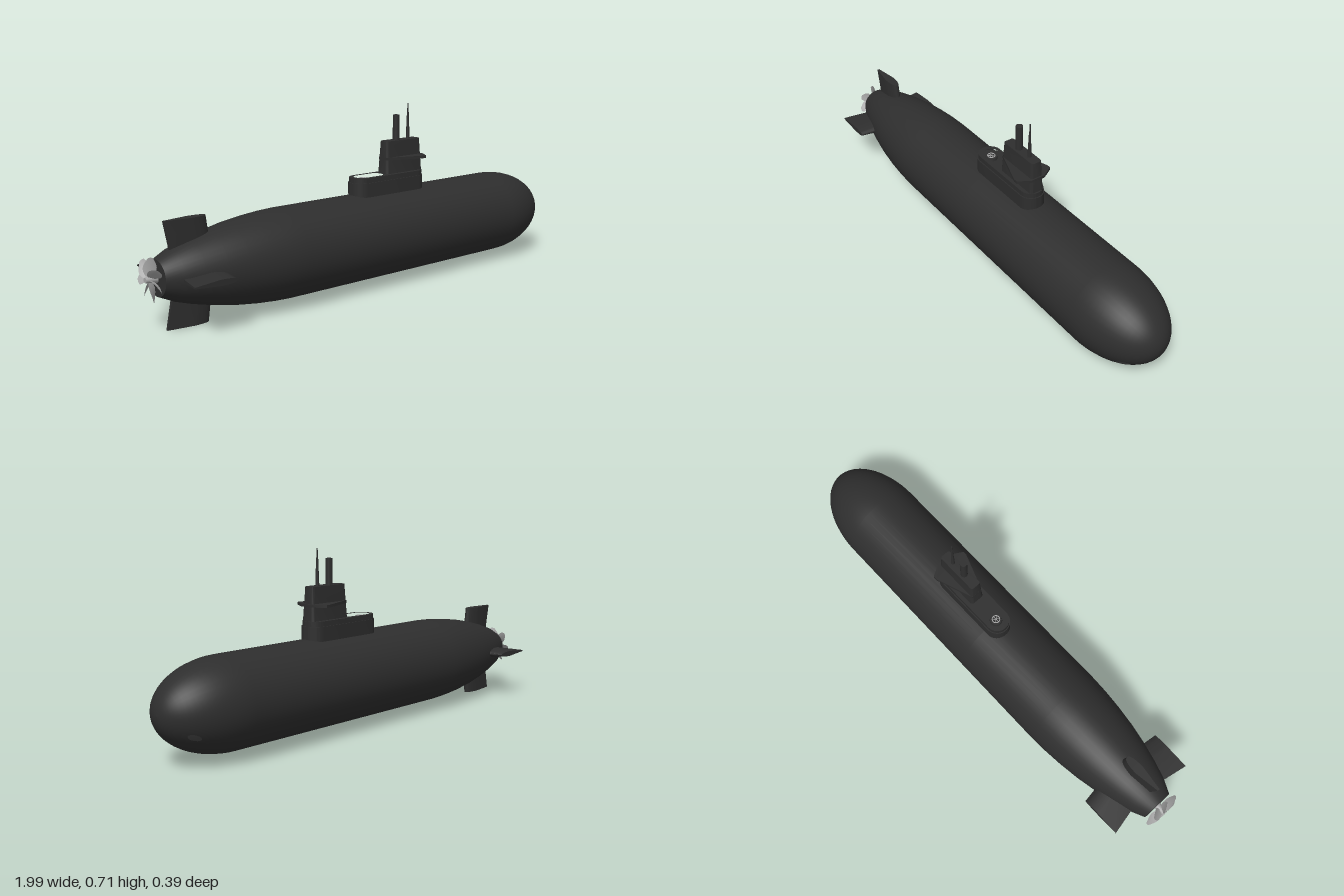
import * as THREE from 'three';
import { toCreasedNormals } from 'three/addons/utils/BufferGeometryUtils.js';

const AXIS = 0.197; // height of the hull's centre line
const RADIUS = 0.174;
const NOSE_X = 0.71;
const NOSE_LEN = 0.29;
const lerp = THREE.MathUtils.lerp;

const hullMat = new THREE.MeshStandardMaterial({ color: 0x2e2e2e });
hullMat.name = 'hull black';
const tubeMat = new THREE.MeshStandardMaterial({ color: 0x3c3c3c });
tubeMat.name = 'tube grey';
const metalMat = new THREE.MeshStandardMaterial({ color: 0xa8a8a8, side: THREE.DoubleSide });
metalMat.name = 'propeller metal';

function add(parent, name, geometry, material, x = 0, y = 0, z = 0) {
  const mesh = new THREE.Mesh(geometry, material);
  mesh.name = name;
  mesh.position.set(x, y, z);
  parent.add(mesh);
  return mesh;
}

// Moves every vertex by a rule
function warp(geometry, rule) {
  const p = geometry.attributes.position;
  const v = new THREE.Vector3();
  for (let i = 0; i < p.count; i++) {
    rule(v.fromBufferAttribute(p, i));
    p.setXYZ(i, v.x, v.y, v.z);
  }
  geometry.computeVertexNormals();
  return geometry;
}

// Rounded rectangle from x0 to x1 with half width w and corner radius r
function rounded(x0, x1, w, r, Type = THREE.Shape) {
  const s = new Type();
  s.absarc(x1 - r, w - r, r, Math.PI / 2, 0, true);
  s.absarc(x1 - r, -w + r, r, 0, -Math.PI / 2, true);
  s.absarc(x0 + r, -w + r, r, -Math.PI / 2, -Math.PI, true);
  s.absarc(x0 + r, w - r, r, Math.PI, Math.PI / 2, true);
  s.closePath();
  return s;
}

// Extrudes a plan shape upwards
function slab(shape, height, rule) {
  const g = new THREE.ExtrudeGeometry(shape, { depth: height, bevelEnabled: false, curveSegments: 10 });
  g.rotateX(-Math.PI / 2);
  if (rule) warp(g, rule);
  return toCreasedNormals(g, 0.6);
}

// Tapered stern fin that grows along +y from the hull axis
function finGeometry(rootThick, tipThick) {
  const s = new THREE.Shape();
  s.moveTo(0, 0.12);
  s.lineTo(0, -0.12);
  s.lineTo(0.6, -0.5);
  s.quadraticCurveTo(1, -0.5, 1, 0);
  s.quadraticCurveTo(1, 0.5, 0.6, 0.5);
  s.closePath();
  return slab(s, 1, (v) => {
    const t = v.y;
    v.x = lerp(lerp(-0.89, -0.917, t), lerp(-0.73, -0.748, t), v.x);
    v.z *= lerp(rootThick, tipThick, t);
    v.y = lerp(0.06, 0.195, t);
  });
}

// Swept, pitched propeller blade that grows along +y
function bladeGeometry() {
  return warp(new THREE.PlaneGeometry(1, 1, 6, 8), (v) => {
    const t = v.y + 0.5;
    const width = 0.018 + 0.03 * Math.sin(Math.PI * Math.min(1, t * 0.9 + 0.08));
    const pitch = lerp(0.5, 0.95, t);
    const c = v.x * width;
    v.set(c * Math.cos(pitch), 0.012 + 0.068 * t - 0.25 * Math.abs(c) * t, c * Math.sin(pitch) + 0.012 * t * t);
  });
}

export function createModel() {
  const model = new THREE.Group();
  model.name = 'submarine';

  // Hull: tapered stern, straight middle, elliptical nose
  const profile = [[0.066, -0.95], [0.094, -0.89], [0.116, -0.82], [0.136, -0.74], [0.152, -0.66],
    [0.164, -0.57], [0.171, -0.49], [RADIUS, -0.42], [RADIUS, 0]].map(([r, x]) => new THREE.Vector2(r, x));
  for (let i = 0; i <= 16; i++) {
    const a = (i / 16) * Math.PI / 2;
    profile.push(new THREE.Vector2(RADIUS * Math.cos(a), NOSE_X + NOSE_LEN * Math.sin(a)));
  }
  add(model, 'hull', new THREE.LatheGeometry(profile, 40).rotateZ(-Math.PI / 2), hullMat, 0, AXIS);
  add(model, 'sternCap', new THREE.CircleGeometry(0.066, 40).rotateY(-Math.PI / 2), hullMat, -0.95, AXIS);

  // Torpedo tube covers, laid onto the nose
  for (const side of [-1, 1]) {
    const cover = new THREE.CircleGeometry(0.013, 20).rotateY(Math.PI / 2);
    cover.translate(0, 0.127 - AXIS, side * 0.098);
    warp(cover, (v) => {
      const q = (v.y * v.y + v.z * v.z) / (RADIUS * RADIUS);
      v.x = NOSE_X + NOSE_LEN * Math.sqrt(1 - q) + 0.004;
    });
    add(model, 'torpedoTubeCover', cover, tubeMat, 0, AXIS);
  }

  // Stern fins
  const rudder = finGeometry(0.042, 0.038);
  const plane = finGeometry(0.048, 0.022);
  for (let i = 0; i < 4; i++) {
    const fin = add(model, i % 2 ? 'sternPlane' : 'rudder', i % 2 ? plane : rudder, hullMat, 0, AXIS);
    fin.rotation.x = i * Math.PI / 2;
  }

  // Propeller
  const propeller = new THREE.Group();
  propeller.name = 'propeller';
  propeller.position.set(-0.975, AXIS, 0);
  model.add(propeller);
  add(propeller, 'propellerHub', new THREE.CylinderGeometry(0.016, 0.01, 0.045, 20).rotateZ(-Math.PI / 2), metalMat, 0.004);
  const blade = bladeGeometry();
  for (let i = 0; i < 7; i++) {
    add(propeller, 'propellerBlade', blade, metalMat).rotation.x = i * Math.PI * 2 / 7;
  }

  // Sail base with a recessed deck behind the tower
  add(model, 'sailBase', slab(rounded(-0.072, 0.298, 0.051, 0.05), 0.1), hullMat, 0, 0.32);
  const rim = rounded(-0.068, 0.294, 0.047, 0.046);
  rim.holes.push(rounded(-0.05, 0.085, 0.032, 0.031, THREE.Path));
  add(model, 'sailRim', slab(rim, 0.02), hullMat, 0, 0.42);

  // Deck hatch with a hand wheel
  add(model, 'hatch', new THREE.CylinderGeometry(0.023, 0.025, 0.01, 24), hullMat, -0.014, 0.425);
  add(model, 'hatchWheel', new THREE.TorusGeometry(0.015, 0.002, 6, 24).rotateX(Math.PI / 2), metalMat, -0.014, 0.433);
  for (let i = 0; i < 3; i++) {
    add(model, 'hatchSpoke', new THREE.BoxGeometry(0.03, 0.002, 0.002), metalMat, -0.014, 0.433).rotation.y = i * Math.PI / 3;
  }

  // Tower, narrowing upwards
  const tower = slab(rounded(0.092, 0.288, 0.031, 0.012), 0.133, (v) => {
    const t = v.y / 0.133;
    v.x = 0.19 + (v.x - 0.19) * lerp(1, 0.93, t);
    v.z *= lerp(1, 0.72, t);
  });
  add(model, 'tower', tower, hullMat, 0, 0.438);

  // Diving planes on the tower
  const wing = new THREE.Shape();
  [[0.095, 0.024], [0.245, 0.078], [0.262, 0.078], [0.29, 0.03], [0.29, -0.03], [0.262, -0.078],
    [0.245, -0.078], [0.095, -0.024]].forEach(([x, z], i) => (i ? wing.lineTo(x, z) : wing.moveTo(x, z)));
  add(model, 'divingPlanes', slab(wing, 0.011), hullMat, 0, 0.495);

  // Snorkel mast and periscope
  add(model, 'snorkelMast', new THREE.CylinderGeometry(0.014, 0.014, 0.13, 20), hullMat, 0.168, 0.608);
  add(model, 'periscopeTube', new THREE.CylinderGeometry(0.004, 0.008, 0.11, 16), hullMat, 0.233, 0.623);
  add(model, 'periscopeTip', new THREE.CylinderGeometry(0.0025, 0.003, 0.04, 12), hullMat, 0.233, 0.695);

  return model;
}
